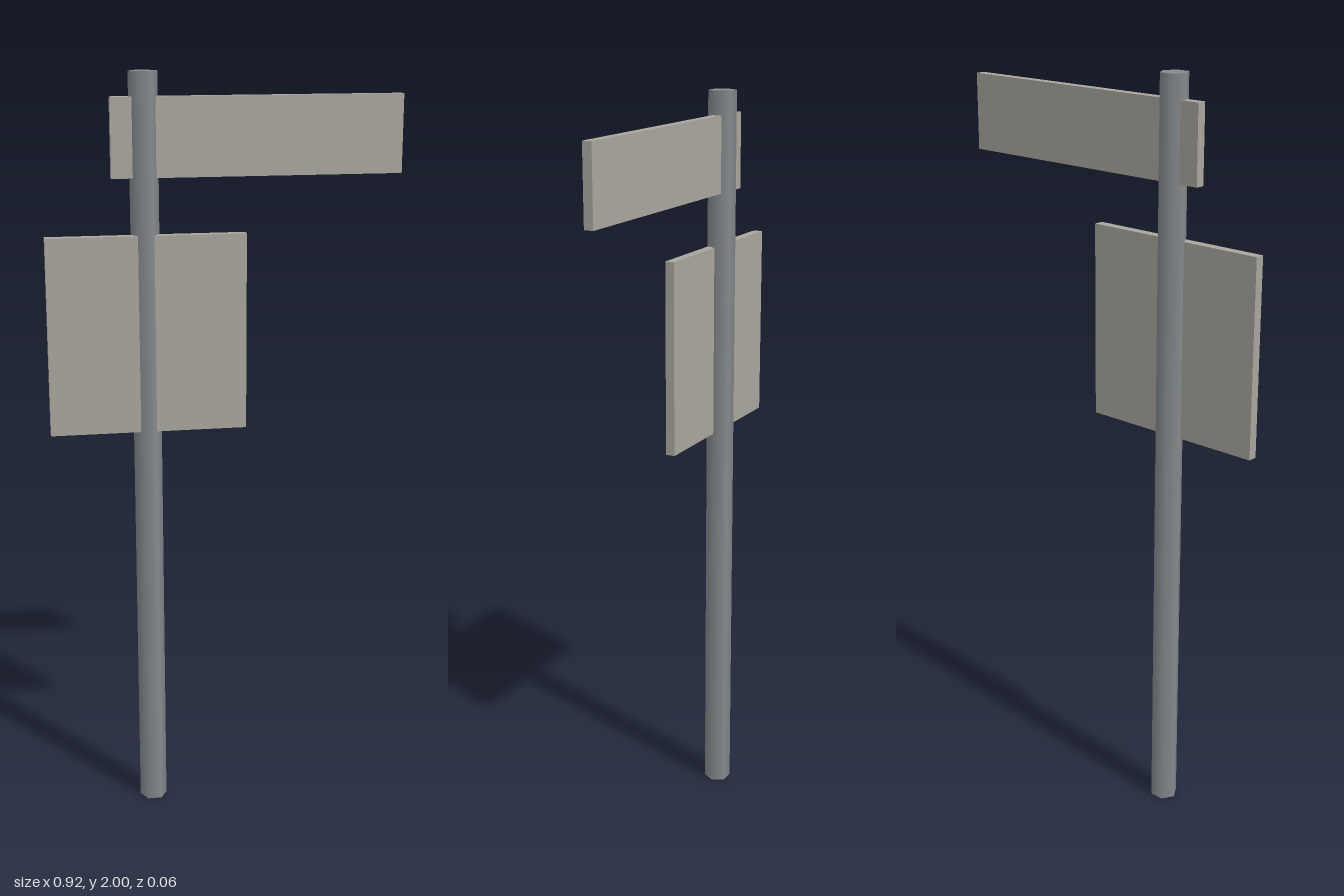
import * as THREE from 'three';

export function createModel() {
  const model = new THREE.Group();
  const poleMaterial = new THREE.MeshStandardMaterial({ color: 0x858a8d });
  const boardMaterial = new THREE.MeshStandardMaterial({ color: 0xa9a69e });

  // Hexagonal pole with softly shaded sides and corners on the x axis
  const poleGeometry = new THREE.CylinderGeometry(0.037, 0.037, 2, 6);
  poleGeometry.rotateY(Math.PI / 6);
  const pole = new THREE.Mesh(poleGeometry, poleMaterial);
  pole.name = 'pole';
  pole.position.set(-0.205, 1, 0);
  model.add(pole);

  // Flat boards set into the pole
  const addBoard = (name, width, height, x, y, z) => {
    const board = new THREE.Mesh(new THREE.BoxGeometry(width, height, 0.025), boardMaterial);
    board.name = name;
    board.position.set(x, y, z);
    model.add(board);
  };
  addBoard('directionBoard', 0.75, 0.2, 0.086, 1.838, 0);
  addBoard('squareBoard', 0.515, 0.515, -0.204, 1.338, 0.0152);

  return model;
}
